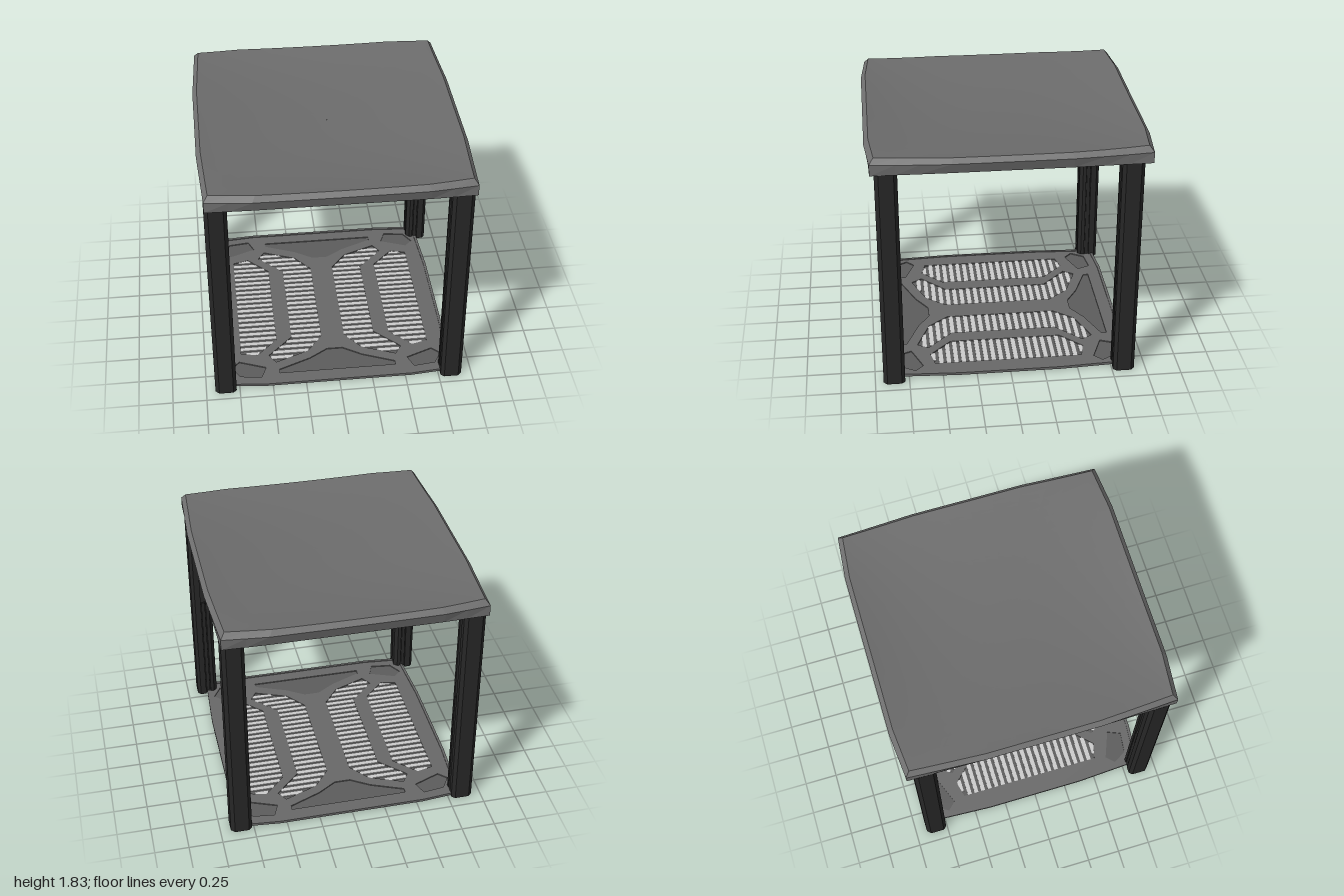
import * as THREE from 'three';

const mat = (color, extra = {}) => new THREE.MeshStandardMaterial({ color, ...extra });
const shellMat = mat(0x707070, { flatShading: true });
const topMat = mat(0x6c6c6c);
const postMat = mat(0x272727);
const deckMat = mat(0x686868);
const recessMat = mat(0x5c5c5c);
const slatMat = mat(0xe4e4e4);
const facetMat = mat(0xc0c0c0);

function add(parent, name, geometry, material) {
  const mesh = new THREE.Mesh(geometry, material);
  mesh.name = name;
  parent.add(mesh);
  return mesh;
}

// Plan outline with sides that bulge between the corners, anticlockwise seen from above
function outline(scale, bulge = 0.03) {
  const ts = [-1, -0.82, -0.65, -0.43, -0.2, 0, 0.2, 0.43, 0.65, 0.82];
  const zSide = t => [0.93 * t, 0.97 + bulge * Math.min(1, (1 - Math.abs(t)) / 0.35)];
  const xSide = t => [0.93 + bulge * Math.min(1, (1 - Math.abs(t)) / 0.57), -0.97 * t];
  const half = [...ts.map(zSide), ...ts.map(xSide)];
  return [...half, ...half.map(([x, z]) => [-x, -z])].map(([x, z]) => [x * scale, z * scale]);
}

// Horizontal plate from a plan of [x, z] points, with optional openings
function plate(points, y0, y1, holes = []) {
  const toV = p => p.map(([x, z]) => new THREE.Vector2(x, -z));
  const shape = new THREE.Shape(toV(points));
  shape.holes = holes.map(h => new THREE.Path(toV(h)));
  return new THREE.ExtrudeGeometry(shape, { depth: y1 - y0, bevelEnabled: false })
    .rotateX(-Math.PI / 2).translate(0, y0, 0);
}

// Skin through a list of rings, each a loop of [x, y, z]
function loft(rings) {
  const n = rings[0].length, index = [];
  for (let r = 0; r < rings.length - 1; r++) {
    for (let i = 0; i < n; i++) {
      const a = r * n + i, b = r * n + (i + 1) % n;
      index.push(a, b, b + n, a, b + n, a + n);
    }
  }
  const geo = new THREE.BufferGeometry();
  geo.setAttribute('position', new THREE.Float32BufferAttribute(rings.flat(2), 3));
  geo.setIndex(index);
  geo.computeVertexNormals();
  return geo;
}

const mirror = (p, sx, sz) => p.map(([x, z]) => [x * sx, z * sz]);

// Vent and engraved panel plans
const outerVent = [[0.44, -0.42], [0.6, -0.58], [0.72, -0.55], [0.72, 0.55], [0.6, 0.58], [0.44, 0.42]];
const innerVent = [[0.09, -0.42], [0.21, -0.57], [0.46, -0.67], [0.51, -0.59], [0.32, -0.4],
  [0.32, 0.4], [0.51, 0.59], [0.46, 0.67], [0.21, 0.57], [0.09, 0.42]];
const endPanel = [[-0.44, 0.79], [-0.44, 0.75], [-0.2, 0.65], [-0.06, 0.56],
  [0.06, 0.56], [0.2, 0.65], [0.44, 0.75], [0.44, 0.79]];
const cornerPanel = [[0.54, 0.72], [0.74, 0.64], [0.8, 0.7], [0.74, 0.8], [0.58, 0.82]];

// Deck with recessed panels and slatted vents; its detailed side faces up
function ventedDeck(scale, bulge) {
  const deck = new THREE.Group();
  const plan = outline(scale, bulge);
  const vents = [1, -1].flatMap(s => [mirror(outerVent, s, 1), mirror(innerVent, s, 1)]);
  const panels = [endPanel, mirror(endPanel, 1, -1)];
  for (const sx of [1, -1]) for (const sz of [1, -1]) panels.push(mirror(cornerPanel, sx, sz));
  add(deck, 'deckBacking', plate(plan, -0.008, 0), recessMat);
  add(deck, 'deckPlate', plate(plan, 0, 0.008, [...vents, ...panels]), deckMat);
  // Slats run along x, cut to the width of the vent
  for (const vent of vents) {
    for (let i = -11; i <= 11; i++) {
      const z = i * 0.056, xs = [];
      vent.forEach(([x0, z0], k) => {
        const [x1, z1] = vent[(k + 1) % vent.length];
        if ((z0 <= z) !== (z1 <= z)) xs.push(x0 + (x1 - x0) * (z - z0) / (z1 - z0));
      });
      if (xs.length < 2) continue;
      const a = Math.min(...xs), b = Math.max(...xs);
      add(deck, 'ventSlat', new THREE.BoxGeometry(b - a, 0.006, 0.032)
        .translate((a + b) / 2, 0.003, z), slatMat);
    }
  }
  return deck;
}

function makeRoof() {
  const roof = new THREE.Group();
  roof.name = 'roof';
  // Dished top, steepest towards the front and back, highest at the corners
  const bowl = (x, z) => {
    const u = (x / 0.9) ** 2, v = Math.abs(z / 0.94) ** 3;
    return 1.752 + 0.056 * (u + v) - 0.038 * u * v;
  };
  const ring = (s, fy, bulge) => outline(s, bulge).map(([x, z]) => [x, fy(x, z), z]);
  const lip = ring(0.967, bowl);
  add(roof, 'roofRim', loft([
    ring(1, () => 1.704, 0.008),
    ring(1, (x, z) => 1.765 + 0.5 * (bowl(x, z) - 1.79)),
    lip,
  ]), shellMat);
  const scales = [0.91, 0.85, 0.78, 0.7, 0.6, 0.5, 0.4, 0.3, 0.2, 0.1, 0.001];
  add(roof, 'roofTop', loft([lip, ...scales.map(s => ring(s, bowl))]), topMat);
  const ceiling = ventedDeck(0.998, 0.008);
  ceiling.name = 'ceiling';
  ceiling.rotation.x = Math.PI;
  ceiling.position.y = 1.712;
  roof.add(ceiling);
  return roof;
}

function makeFloor() {
  const floor = new THREE.Group();
  floor.name = 'floor';
  const deck = ventedDeck(0.9);
  deck.name = 'floorDeck';
  deck.position.y = 0.014;
  floor.add(deck);
  add(floor, 'floorLip', plate(outline(0.905), 0.008, 0.028, [outline(0.885)]), deckMat);
  // Pale trapezoid facets under both sides
  const facet = [[0.82, -0.7], [0.82, 0.7], [0.48, 0.28], [0.48, -0.28]];
  for (const s of [1, -1]) add(floor, 'undersideFacet', plate(mirror(facet, s, 1), 0.002, 0.006), facetMat);
  return floor;
}

// Chamfered post section with a groove in each inner face
const halfSection = [[0.795, 0.77], [0.822, 0.77], [0.822, 0.785], [0.86, 0.785], [0.86, 0.77],
  [0.905, 0.77], [0.928, 0.795], [0.928, 0.9]];
const section = [...halfSection, ...halfSection.map(([x, z]) => [z, x]).reverse()];

function makePost(sx, sz) {
  const post = new THREE.Group();
  post.name = (sz > 0 ? 'front' : 'back') + (sx > 0 ? 'Left' : 'Right') + 'Post';
  add(post, 'postColumn', plate(mirror(section, sx, sz), 0, 1.708), postMat);
  // Half-height strips set in the grooves
  add(post, 'postStrip', new THREE.BoxGeometry(0.028, 0.9, 0.02)
    .translate(0.841 * sx, 0.46, 0.783 * sz), postMat);
  add(post, 'postStrip', new THREE.BoxGeometry(0.02, 0.9, 0.028)
    .translate(0.783 * sx, 0.46, 0.841 * sz), postMat);
  post.position.set(-0.005, 0, 0.012);
  return post;
}

export function createModel() {
  const model = new THREE.Group();
  model.name = 'openFrameShelter';
  model.add(makeRoof(), makeFloor());
  for (const sx of [1, -1]) for (const sz of [1, -1]) model.add(makePost(sx, sz));
  return model;
}
